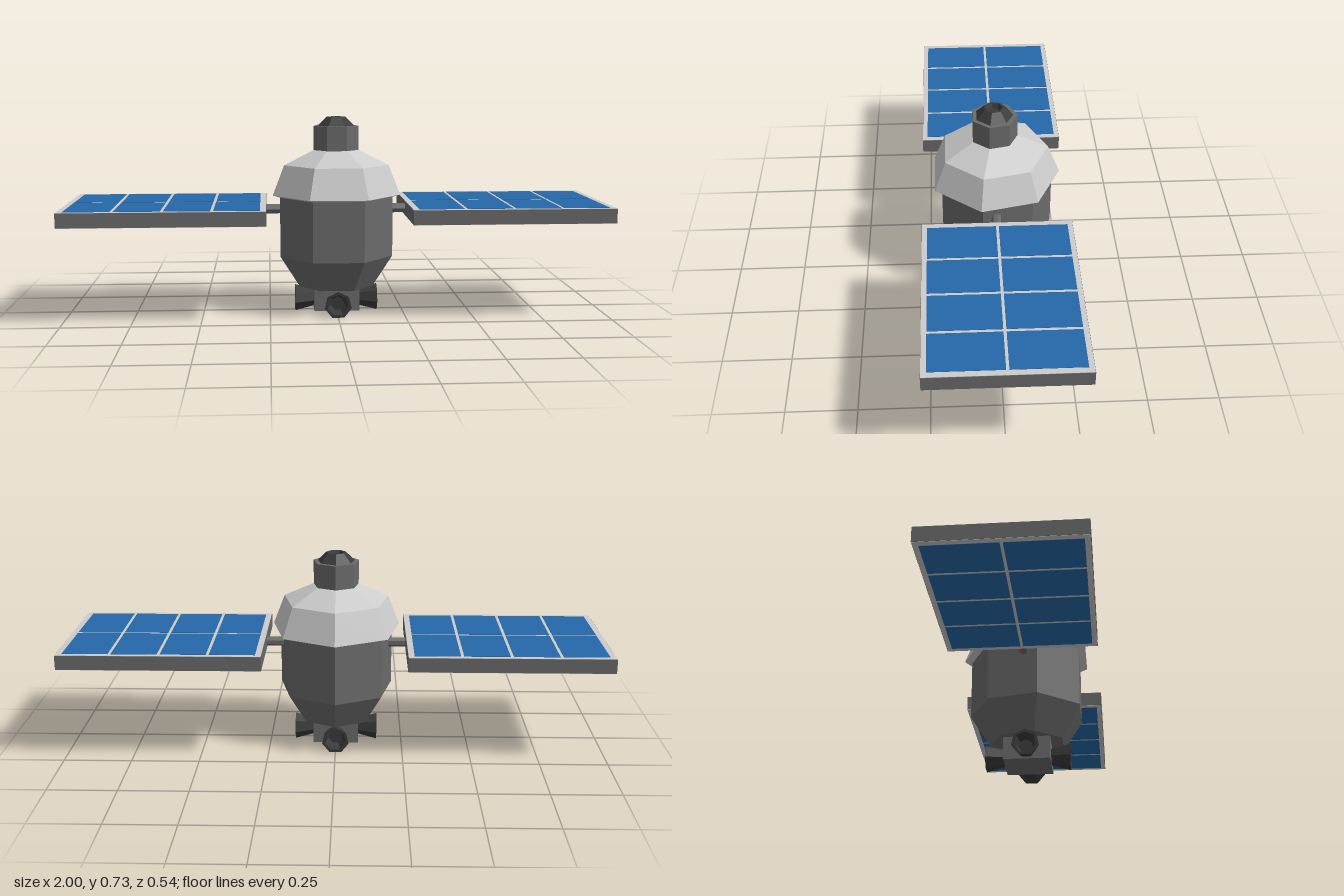
import * as THREE from 'three';

const SIDES = 7;
const mat = (color) => new THREE.MeshStandardMaterial({ color, flatShading: true });
const light = mat(0xcccccc);
const grey = mat(0x6a6a6a);
const dark = mat(0x3a3a3a);
const blue = mat(0x2468a8);

// Seven-sided turned form with one corner towards -z; profile is [radius, height] from bottom to top
function turned(profile) {
  const points = profile.map(([r, y]) => new THREE.Vector2(r, y));
  return new THREE.LatheGeometry(points, SIDES, Math.PI);
}

function add(parent, name, geometry, material, x = 0, y = 0, z = 0) {
  const mesh = new THREE.Mesh(geometry, material);
  mesh.name = name;
  mesh.position.set(x, y, z);
  parent.add(mesh);
  return mesh;
}

// Framed panel with a 4 x 2 grid of cells on both faces
function solarPanel(side) {
  const wing = new THREE.Group();
  wing.name = side > 0 ? 'leftSolarWing' : 'rightSolarWing';
  const strut = new THREE.CylinderGeometry(0.018, 0.018, 0.1, SIDES).rotateZ(Math.PI / 2);
  add(wing, 'strut', strut, grey, side * 0.225, 0.387, 0);
  add(wing, 'panelFrame', new THREE.BoxGeometry(0.738, 0.053, 0.538), grey, side * 0.631, 0.3875, 0);
  add(wing, 'panelBacking', new THREE.BoxGeometry(0.736, 0.055, 0.536), light, side * 0.631, 0.3875, 0);
  const cell = new THREE.BoxGeometry(0.165, 0.057, 0.245);
  for (let i = 0; i < 4; i++) {
    for (const row of [-1, 1]) {
      add(wing, 'solarCell', cell, blue, side * (0.367 + i * 0.176), 0.3875, row * 0.1275);
    }
  }
  return wing;
}

export function createModel() {
  const model = new THREE.Group();
  model.name = 'spacecraft';

  // Main hull, tapering at the bottom
  add(model, 'hull', turned([[0, 0.095], [0.142, 0.095], [0.216, 0.212], [0.216, 0.437], [0, 0.437]]), grey);

  // Pale overhanging dome
  add(model, 'dome', turned([[0.214, 0.435], [0.244, 0.444], [0.2, 0.556], [0.086, 0.61], [0, 0.61]]), light);

  // Docking neck and its dark recessed port
  add(model, 'neck', turned([[0.086, 0.605], [0.086, 0.7], [0, 0.7]]), grey);
  add(model, 'dockingPort',
    turned([[0.07, 0.7], [0.037, 0.733], [0.03, 0.733], [0.022, 0.715], [0, 0.715]]), dark);

  // Engine block with four flared nozzles
  add(model, 'engineBlock', new THREE.BoxGeometry(0.17, 0.087, 0.17), grey, 0, 0.0535, 0);
  const nozzle = turned([[0.031, 0.08], [0.051, 0.155], [0.04, 0.155], [0.026, 0.115], [0, 0.115]])
    .rotateX(Math.PI / 2);
  for (let i = 0; i < 4; i++) {
    add(model, 'nozzle', nozzle, dark, 0, 0.046, 0).rotation.y = i * Math.PI / 2;
  }

  for (const side of [-1, 1]) model.add(solarPanel(side));
  return model;
}
